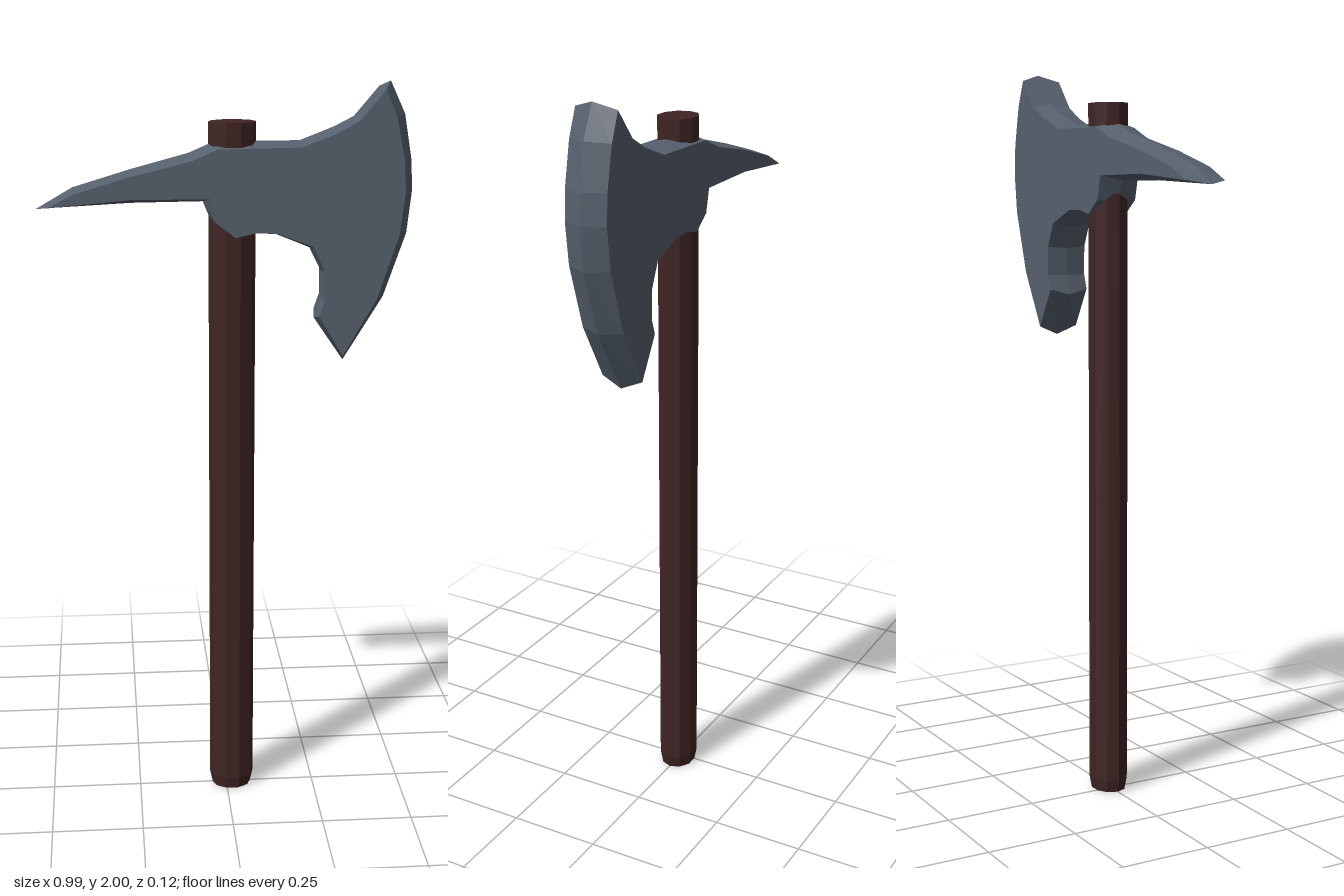
import * as THREE from 'three';

const steel = new THREE.MeshStandardMaterial({ color: 0x56606d, flatShading: true });
steel.name = 'steel';
const darkWood = new THREE.MeshStandardMaterial({ color: 0x402424, flatShading: true });
darkWood.name = 'dark wood';

// Head outline, clockwise from the spike tip: ridge x, y (z = 0), then face x, y (z = +-half)
const OUTLINE = [
  // spike, upper side
  [-0.495, 1.68, -0.465, 1.69], [-0.40, 1.735, -0.395, 1.725], [-0.25, 1.78, -0.25, 1.768],
  [-0.10, 1.82, -0.095, 1.805], [-0.03, 1.85, -0.025, 1.835],
  // top of the blade
  [0.19, 1.85, 0.19, 1.838], [0.28, 1.885, 0.28, 1.872], [0.345, 1.915, 0.34, 1.905],
  // cutting edge
  [0.425, 2.0, 0.405, 1.982], [0.465, 1.915, 0.435, 1.91], [0.485, 1.80, 0.458, 1.80],
  [0.49, 1.72, 0.463, 1.72], [0.478, 1.605, 0.45, 1.61], [0.42, 1.435, 0.395, 1.44],
  [0.315, 1.263, 0.307, 1.287],
  // beard and inner curve
  [0.235, 1.38, 0.242, 1.395], [0.25, 1.435, 0.256, 1.435], [0.25, 1.51, 0.255, 1.515],
  [0.22, 1.57, 0.225, 1.58], [0.13, 1.607, 0.13, 1.617], [0.07, 1.608, 0.07, 1.618],
  // collar and spike underside
  [0.02, 1.60, 0.02, 1.607], [-0.038, 1.638, -0.03, 1.645], [-0.062, 1.695, -0.045, 1.708],
  [-0.25, 1.693, -0.25, 1.709],
].reverse();

// Two flat faces joined by bevels that meet in a central ridge
function headGeometry(half) {
  const n = OUTLINE.length;
  const positions = [];
  for (const p of OUTLINE) positions.push(p[2], p[3], half);
  for (const p of OUTLINE) positions.push(p[0], p[1], 0);
  for (const p of OUTLINE) positions.push(p[2], p[3], -half);

  const index = [];
  const contour = OUTLINE.map((p) => new THREE.Vector2(p[2], p[3]));
  for (const [a, b, c] of THREE.ShapeUtils.triangulateShape(contour, [])) {
    index.push(a, b, c, 2 * n + c, 2 * n + b, 2 * n + a);
  }
  for (let ring = 0; ring < 2; ring++) {
    for (let i = 0; i < n; i++) {
      const j = (i + 1) % n;
      const a = ring * n + i, b = ring * n + j;
      index.push(a, a + n, b, b, a + n, b + n);
    }
  }
  const indexed = new THREE.BufferGeometry();
  indexed.setAttribute('position', new THREE.Float32BufferAttribute(positions, 3));
  indexed.setIndex(index);
  const geometry = indexed.toNonIndexed();
  geometry.computeVertexNormals();
  return geometry;
}

// Ten-sided oval section of the handle
function handleSection(name, topScale, bottomScale, y0, y1, open) {
  const geometry = new THREE.CylinderGeometry(topScale, bottomScale, y1 - y0, 10, 1, open, Math.PI / 2);
  geometry.scale(0.062, 1, 0.0525);
  const mesh = new THREE.Mesh(geometry, darkWood);
  mesh.name = name;
  mesh.position.set(0.015, (y0 + y1) / 2, 0);
  return mesh;
}

export function createModel() {
  const model = new THREE.Group();
  model.name = 'axe';

  const head = new THREE.Mesh(headGeometry(0.058), steel);
  head.name = 'axeHead';

  const handle = new THREE.Group();
  handle.name = 'handle';
  handle.add(
    handleSection('shaft', 1, 1, 0.035, 1.9, false),
    handleSection('pommel', 1, 0.88, 0, 0.035, false),
  );

  model.add(head, handle);
  return model;
}
